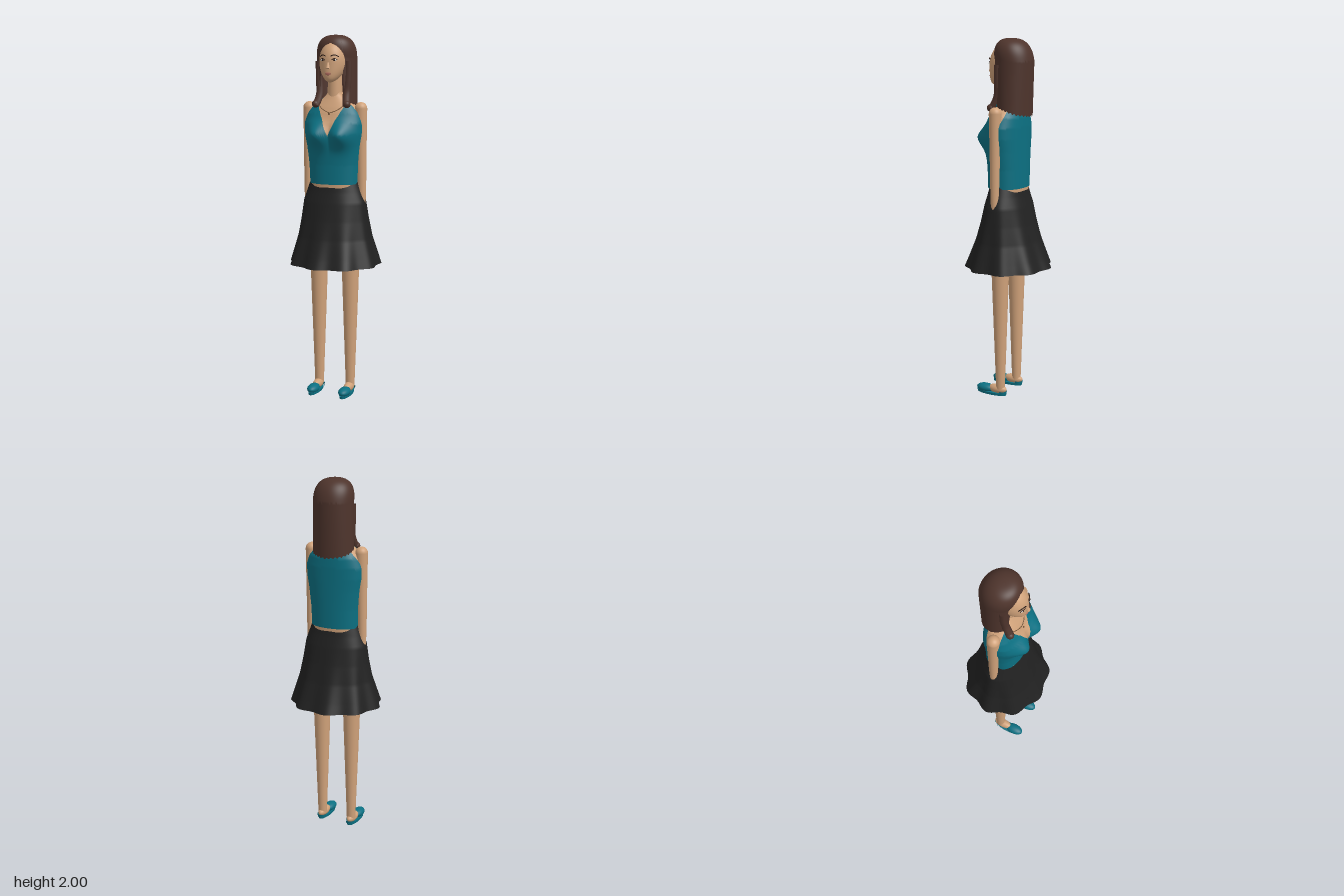
import * as THREE from 'three';
import { ParametricGeometry } from 'three/addons/geometries/ParametricGeometry.js';

const mat = (name, color, side = THREE.FrontSide) => {
  const m = new THREE.MeshStandardMaterial({ color, side });
  m.name = name;
  return m;
};

// Linear interpolation in rows of [key, value, value...]
function lookup(rows, k) {
  let i = 0;
  while (i < rows.length - 2 && k > rows[i + 1][0]) i++;
  const a = rows[i], b = rows[i + 1];
  const t = THREE.MathUtils.clamp((k - a[0]) / (b[0] - a[0]), 0, 1);
  return a.slice(1).map((v, j) => v + (b[j + 1] - v) * t);
}
const degrees = (a) => Math.abs(THREE.MathUtils.radToDeg(a)); // 0 = front, 180 = back

// Torso: height, half width, back z, front z
const TORSO = [[1.15, .138, -.098, .098], [1.2, .138, -.1, .1], [1.3, .143, -.1, .1], [1.4, .155, -.1, .105],
  [1.47, .167, -.1, .108], [1.53, .169, -.1, .1], [1.58, .152, -.098, .086], [1.62, .122, -.085, .068],
  [1.65, .08, -.062, .052], [1.68, .045, -.045, .038], [1.72, .036, -.04, .034]];
function torsoPoint(a, y, scale, out) {
  const [rx, zb, zf] = lookup(TORSO, y);
  const s = Math.sin(a), c = Math.cos(a);
  const x = rx * Math.sign(s) * Math.abs(s) ** .92;
  let z = (c > 0 ? zf : -zb) * Math.sign(c) * Math.abs(c) ** .85;
  if (c > 0) z += .056 * Math.min(1, c * 2) * Math.exp(-(((Math.abs(x) - .07) / .06) ** 2) - ((y - 1.465) / .062) ** 2);
  return out.set(x * scale, y, z * scale);
}

// Top edge of the shirt by angle: V neck, strap, armhole, back
const SHIRT_EDGE = [[0, 1.46], [6, 1.505], [12, 1.55], [22, 1.59], [35, 1.62], [48, 1.645], [60, 1.645],
  [68, 1.61], [78, 1.545], [90, 1.525], [102, 1.54], [115, 1.59], [125, 1.635], [145, 1.635], [180, 1.62]];
// Lower edge of the hair by angle: hairline, face edge, shoulders, back
const HAIR_EDGE = [[0, 1.957], [14, 1.943], [26, 1.905], [35, 1.84], [38, 1.64], [90, 1.62], [130, 1.597], [180, 1.585]];
// Skirt: height, half width, half depth, wave
const SKIRT = [[.745, .252, .232, .042], [.8, .237, .209, .036], [.9, .209, .17, .024], [1, .192, .141, .012],
  [1.1, .178, .117, .004], [1.15, .16, .102, 0], [1.22, .135, .086, 0]];

export function createModel() {
  const skin = mat('skin', 0xd0a27a), hairMat = mat('brown hair', 0x4e342c, THREE.DoubleSide);
  const teal = mat('teal fabric', 0x0c7082, THREE.DoubleSide), black = mat('black fabric', 0x212121, THREE.DoubleSide);
  const dark = mat('dark brown', 0x2b1a14), white = mat('eye white', 0xe8e4de);
  const lip = mat('lips', 0xa8665a), gold = mat('necklace brown', 0x7a5a3c);

  const model = new THREE.Group();
  model.name = 'woman';
  const body = new THREE.Group();
  body.name = 'figure';
  body.position.x = .004;
  model.add(body);

  const add = (name, geo, material, x = 0, y = 0, z = 0) => {
    const m = new THREE.Mesh(geo, material);
    m.name = name;
    m.position.set(x, y, z);
    body.add(m);
    return m;
  };
  const ball = (name, material, x, y, z, rx, ry, rz) => {
    const m = add(name, new THREE.SphereGeometry(1, 28, 18), material, x, y, z);
    m.scale.set(rx, ry, rz);
    return m;
  };
  // Surface around the vertical axis, from the back round the front
  const wrap = (name, material, fn, nu, nv) => add(name, new ParametricGeometry(
    (u, v, p) => fn((u * 2 - 1) * Math.PI, v, p), nu, nv), material);
  const tube = (name, material, pts, r, n = 24) => add(name, new THREE.TubeGeometry(
    new THREE.CatmullRomCurve3(pts.map((p) => new THREE.Vector3(...p))), n, r, 8), material);

  // Torso, neck and shirt
  wrap('torso', skin, (a, v, p) => torsoPoint(a, 1.15 + .57 * v, .965, p), 72, 40);
  add('neck', new THREE.CylinderGeometry(.037, .042, .16, 28), skin, 0, 1.73, 0);
  wrap('shirt', teal, (a, v, p) => {
    const [top] = lookup(SHIRT_EDGE, degrees(a));
    torsoPoint(a, 1.195 + (top - 1.195) * v, 1, p);
  }, 120, 36);

  // Skirt with nine flared waves
  wrap('skirt', black, (a, v, p) => {
    const y = .745 + .475 * v;
    const [rx, rz, wave] = lookup(SKIRT, y);
    const k = 1 + wave * Math.cos(9 * (a + Math.PI / 2));
    p.set(rx * k * Math.sin(a), y, rz * k * Math.cos(a));
  }, 144, 24);

  // Head with a narrowed jaw and a forward chin
  const headGeo = new THREE.SphereGeometry(1, 40, 32);
  const pos = headGeo.attributes.position;
  for (let i = 0; i < pos.count; i++) {
    const x = pos.getX(i), y = pos.getY(i), z = pos.getZ(i), low = Math.max(0, -y);
    pos.setXYZ(i, x * .075 * (1 - .22 * low * low), 1.858 + y * .111, .025 + z * .085 + .05 * low * low);
  }
  headGeo.computeVertexNormals();
  add('head', headGeo, skin);
  const nose = add('nose', new THREE.ConeGeometry(.012, .05, 16), skin, 0, 1.846, .108);
  nose.rotation.x = -.2;
  ball('noseTip', skin, 0, 1.826, .112, .011, .008, .01);
  ball('upperLip', lip, 0, 1.797, .11, .018, .004, .005);
  ball('lowerLip', lip, 0, 1.79, .11, .014, .005, .005);

  // Hair shell
  wrap('hair', hairMat, (a, v, p) => {
    const d = degrees(a);
    let [low] = lookup(HAIR_EDGE, d);
    if (d > 60) low += .004 * Math.sin(a * 30);
    const y = low + (2 - low) * Math.sin(v * Math.PI / 2);
    const t = Math.max(0, (y - 1.88) / .12);
    const r = Math.max(0, 1 - t ** 2.6) ** .385;
    const drop = THREE.MathUtils.clamp((1.88 - y) / .3, 0, 1);
    p.set((.11 + .004 * drop) * r * Math.sin(a), y,
      -.035 + .02 * t + (.105 - .012 * drop) * r * Math.cos(a));
  }, 180, 40);

  for (const s of [-1, 1]) {
    // Face details
    ball('eyeWhite', white, s * .033, 1.866, .1, .013, .006, .004);
    ball('iris', dark, s * .033, 1.866, .102, .006, .006, .004);
    tube('eyelid', dark, [[s * .018, 1.866, .107], [s * .033, 1.874, .103], [s * .049, 1.867, .093]], .0018);
    tube('eyebrow', dark, [[s * .014, 1.887, .108], [s * .034, 1.893, .101], [s * .053, 1.884, .087]], .0028);

    // Front hair locks, curling forward at the tips
    const lock = tube('hairLock', hairMat, [[s * .084, 1.86, .02], [s * .082, 1.76, .022], [s * .077, 1.69, .03],
      [s * .082, 1.645, .05], [s * .09, 1.622, .066]], .021);
    lock.name = 'hairLock';
    ball('hairLockTip', hairMat, s * .09, 1.63, .062, .02, .02, .022);

    // Shoulder strap
    tube('shirtStrap', teal, [[s * .078, 1.64, .036], [s * .086, 1.656, 0], [s * .078, 1.64, -.046]], .009);

    // Arm, reaching down inside the skirt
    ball('shoulder', skin, s * .15, 1.607, 0, .034, .034, .034);
    const armProfile = [[.017, -.62], [.02, -.52], [.025, -.38], [.027, -.27], [.03, -.15], [.034, 0]]
      .map(([r, y]) => new THREE.Vector2(r, y));
    const arm = add('arm', new THREE.LatheGeometry(armProfile, 24), skin, s * .15, 1.607, 0);
    arm.rotation.z = s * .016;

    // Hand
    ball('palm', skin, s * .161, .945, .004, .014, .05, .03);
    for (let i = 0; i < 4; i++) {
      const len = .05 + (i % 3 ? .012 : 0);
      add('finger', new THREE.CapsuleGeometry(.007, len, 4, 8), skin, s * .161, .9 - len / 2, -.02 + i * .0155);
    }
    const thumb = add('thumb', new THREE.CapsuleGeometry(.008, .045, 4, 8), skin, s * .155, .93, .036);
    thumb.rotation.x = -.4;

    // Leg
    const legProfile = [[.025, .04], [.027, .1], [.034, .3], [.041, .5], [.05, .76], [.056, 1], [.05, 1.14]]
      .map(([r, y]) => new THREE.Vector2(r, y));
    add('leg', new THREE.LatheGeometry(legProfile, 28), skin, s * .093, 0, .003);

    // Foot and flat shoe
    ball('foot', skin, s * .093, .036, .022, .026, .026, .058);
    ball('shoeToe', teal, s * .093, .03, .1, .032, .024, .055);
    const sole = add('shoeSole', new THREE.CylinderGeometry(1, .96, .014, 32), teal, s * .093, .009, .06);
    sole.scale.set(.03, 1, .095);
    const heel = add('shoeHeel', new THREE.CylinderGeometry(.027, .025, .016, 24, 1, true, Math.PI / 2, Math.PI),
      teal, s * .093, .02, -.004);
    heel.scale.z = 1.15;
  }

  // Necklace lying on the chest
  const chain = [];
  for (let i = -6; i <= 6; i++) {
    const t = i / 6;
    chain.push(torsoPoint(t * .85, 1.585 + .06 * Math.abs(t) ** 1.2, 1, new THREE.Vector3()).toArray());
  }
  tube('necklace', gold, chain, .002, 48);
  ball('pendant', gold, 0, 1.58, .094, .005, .007, .004);

  return model;
}
